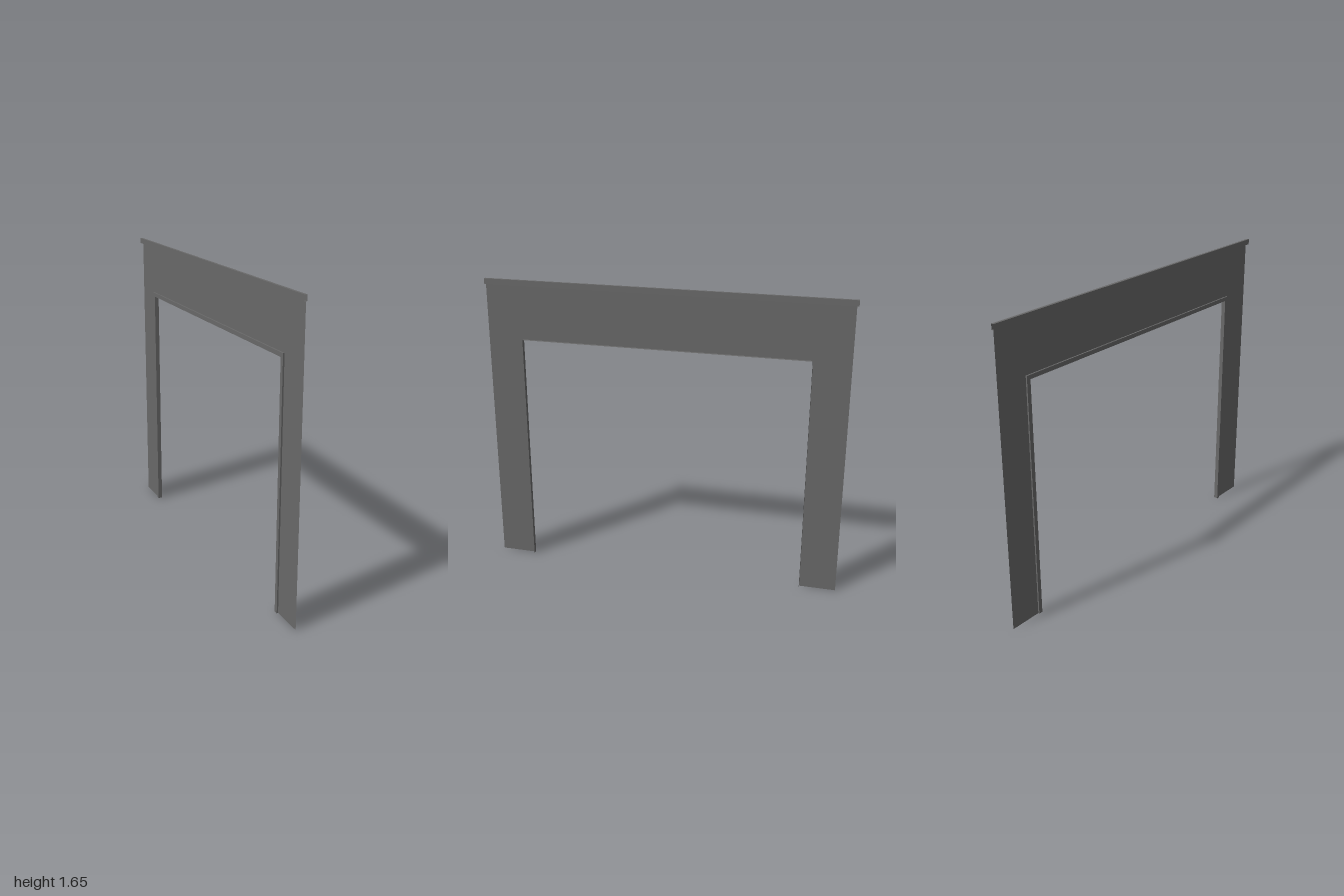
import * as THREE from 'three';

const grey = new THREE.MeshStandardMaterial({ color: 0x696969, side: THREE.DoubleSide });
grey.name = 'dark grey';

// Main depths across the wall (x) and sizes along it (z) and up (y)
const PANEL_X = -0.001, TRIM_X = -0.009, LINING_X = 0.015, CORNICE_X = -0.015;
const OPEN_Z = 0.79, OPEN_Y = 1.32, TRIM_Z = 0.812, TRIM_Y = 1.343;
const PANEL_Z = 0.99, PANEL_Y = 1.617, TOP_Y = 1.647;

// Arch-shaped outline lying in the z-y plane at depth x
function archSheet(name, x, outerZ, outerY, innerZ, innerY) {
  const pts = [
    [-outerZ, 0], [-innerZ, 0], [-innerZ, innerY], [innerZ, innerY],
    [innerZ, 0], [outerZ, 0], [outerZ, outerY], [-outerZ, outerY],
  ].map(([a, b]) => new THREE.Vector2(a, b));
  const mesh = new THREE.Mesh(new THREE.ShapeGeometry(new THREE.Shape(pts)), grey);
  mesh.rotation.y = Math.PI / 2;
  mesh.position.x = x;
  mesh.name = name;
  return mesh;
}

// Upright sheet facing along z
function sideSheet(name, x0, x1, height, z) {
  const mesh = new THREE.Mesh(new THREE.PlaneGeometry(x1 - x0, height), grey);
  mesh.position.set((x0 + x1) / 2, height / 2, z);
  if (z < 0) mesh.rotation.y = Math.PI;
  mesh.name = name;
  return mesh;
}

// Level sheet facing up or down
function levelSheet(name, x0, x1, y, halfZ, up) {
  const mesh = new THREE.Mesh(new THREE.PlaneGeometry(x1 - x0, halfZ * 2), grey);
  mesh.rotation.x = up ? -Math.PI / 2 : Math.PI / 2;
  mesh.position.set((x0 + x1) / 2, y, 0);
  mesh.name = name;
  return mesh;
}

export function createModel() {
  const model = new THREE.Group();
  model.name = 'doorSurround';

  // Thin wall panel around the opening
  model.add(archSheet('wallPanel', PANEL_X, PANEL_Z, PANEL_Y, OPEN_Z, OPEN_Y));

  // Raised trim and lining of the opening
  const frame = new THREE.Group();
  frame.name = 'openingFrame';
  frame.add(archSheet('trimFace', TRIM_X, TRIM_Z, TRIM_Y, OPEN_Z, OPEN_Y));
  for (const s of [-1, 1]) {
    frame.add(sideSheet('trimEdge', TRIM_X, PANEL_X, TRIM_Y, s * TRIM_Z));
    frame.add(sideSheet('jambLining', TRIM_X, LINING_X, OPEN_Y, s * OPEN_Z));
  }
  frame.add(levelSheet('trimTop', TRIM_X, PANEL_X, TRIM_Y, TRIM_Z, true));
  frame.add(levelSheet('headLining', TRIM_X, LINING_X, OPEN_Y, OPEN_Z, false));
  model.add(frame);

  // Open-ended cornice along the top edge
  const cornice = new THREE.Group();
  cornice.name = 'cornice';
  cornice.add(levelSheet('corniceTop', CORNICE_X, PANEL_X, TOP_Y, 1, true));
  cornice.add(levelSheet('corniceUnderside', CORNICE_X, PANEL_X, PANEL_Y, 1, false));
  for (const x of [CORNICE_X, PANEL_X]) {
    const face = new THREE.Mesh(new THREE.PlaneGeometry(2, TOP_Y - PANEL_Y), grey);
    face.rotation.y = x === CORNICE_X ? -Math.PI / 2 : Math.PI / 2;
    face.position.set(x, (TOP_Y + PANEL_Y) / 2, 0);
    face.name = 'corniceFace';
    cornice.add(face);
  }
  model.add(cornice);
  return model;
}
